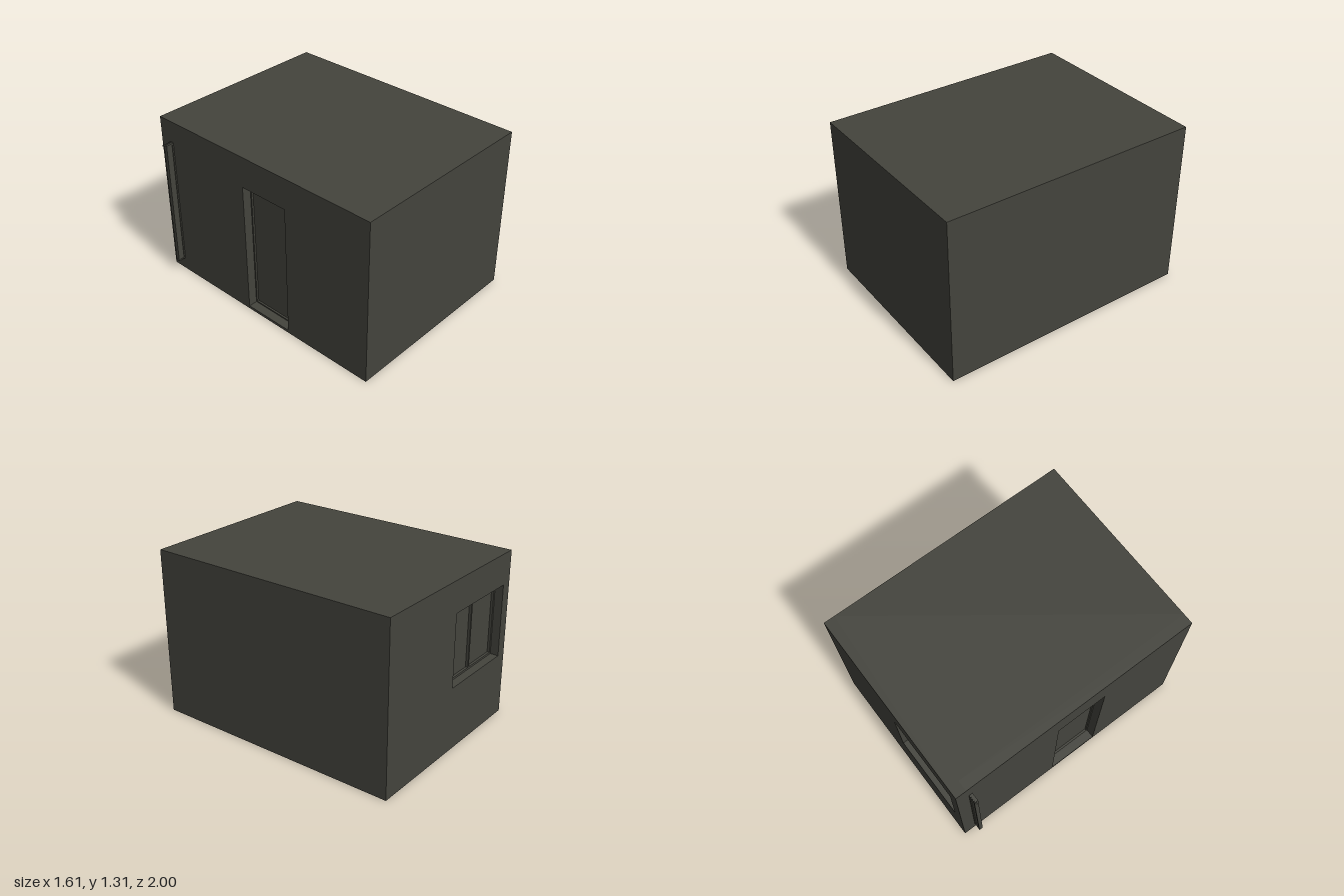
import * as THREE from 'three';

// Rectangles are [left, bottom, right, top]
function trace(path, [l, b, r, t]) {
  path.moveTo(l, b);
  path.lineTo(r, b);
  path.lineTo(r, t);
  path.lineTo(l, t);
  path.closePath();
  return path;
}

// Flat plate with rectangular openings
function plate(outer, openings, depth) {
  const shape = trace(new THREE.Shape(), outer);
  for (const o of openings) shape.holes.push(trace(new THREE.Path(), o));
  return new THREE.ExtrudeGeometry(shape, { depth, bevelEnabled: false });
}

const inset = ([l, b, r, t], w) => [l + w, b + w, r - w, t - w];

export function createModel() {
  const group = new THREE.Group();
  const concrete = new THREE.MeshStandardMaterial({ color: 0x44443d });

  const add = (name, geometry, x = 0, y = 0, z = 0) => {
    const mesh = new THREE.Mesh(geometry, concrete);
    mesh.name = name;
    mesh.position.set(x, y, z);
    group.add(mesh);
    return mesh;
  };
  const box = (name, x0, x1, y0, y1, z0, z1) =>
    add(name, new THREE.BoxGeometry(x1 - x0, y1 - y0, z1 - z0),
      (x0 + x1) / 2, (y0 + y1) / 2, (z0 + z1) / 2);

  const X0 = -0.725, X1 = 0.8, H = 1.31, wall = 0.085;
  const windowRect = [-0.64, 0.5, 0.01, 1.066];
  const doorRect = [-0.145, 0.022, 0.26, 1.067];

  // Solid body behind the two pierced walls; its faces close the openings
  box('body', X0 + wall, X1, 0, H, -1 + wall, 1);
  add('backWall', plate([X0, 0, X1, H], [windowRect], wall), 0, 0, -1);
  add('sideWall', plate([-1 + wall, 0, 1, H], [doorRect], wall).rotateY(-Math.PI / 2), X0 + wall);

  // Window frame: two panes with a slim mullion
  const reveal = 0.02;
  const [l, b, r, t] = inset(windowRect, 0.015);
  const mid = (l + r) / 2, m = 0.007;
  add('windowFrame',
    plate(windowRect, [[l, b, mid - m, t], [mid + m, b, r, t]], reveal),
    0, 0, -1 + wall - reveal);

  // Door frame
  add('doorFrame',
    plate(doorRect, [inset(doorRect, 0.01)], 0.015).rotateY(-Math.PI / 2),
    X0 + wall);

  // Upright fin on the side wall: framed panel with a pin at the top
  const finRect = [-0.787, 0.1, X0, 1.135];
  add('finFrame', plate(finRect, [inset(finRect, 0.01)], 0.03), 0, 0, -0.904);
  box('finPanel', -0.78, X0, 0.105, 1.13, -0.897, -0.88);
  box('finPin', -0.805, X0, 1.133, 1.141, -0.898, -0.89);

  return group;
}
